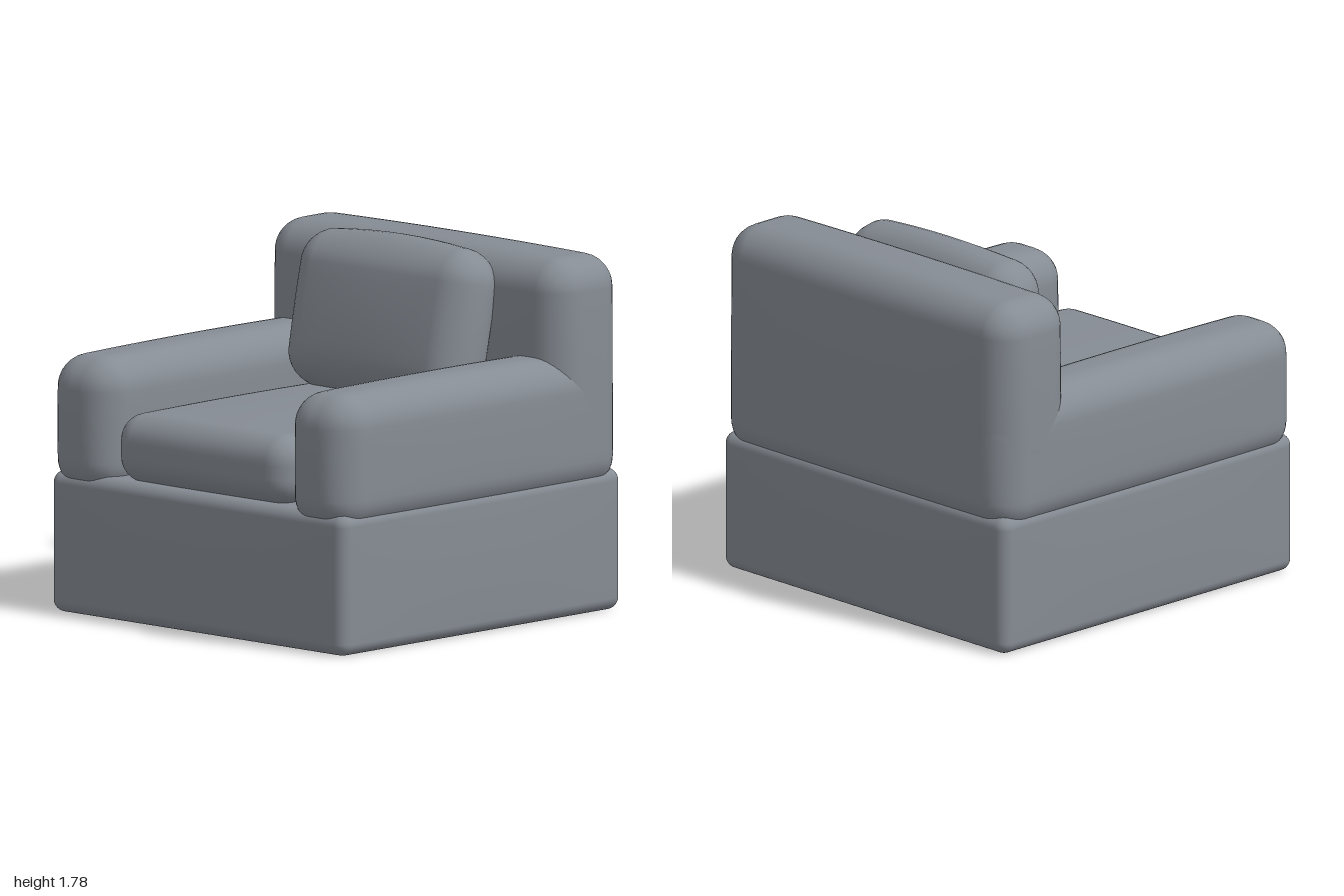
import * as THREE from 'three';
import { mergeVertices } from 'three/addons/utils/BufferGeometryUtils.js';

const AXES = ['x', 'y', 'z'];
const SEGMENTS = 16;

// Upholstered block: rounded edges, with each face swelling towards its middle.
// min / max are the outer limits including the swelling.
function paddedBox(min, max, radius, bulge) {
  const half = AXES.map((_, i) => (max[i] - min[i]) / 2 - bulge[i]);
  const geometry = new THREE.BoxGeometry(2, 2, 2, SEGMENTS, SEGMENTS, SEGMENTS);
  geometry.deleteAttribute('uv');
  geometry.deleteAttribute('normal');
  const pos = geometry.attributes.position;
  const p = new THREE.Vector3(), core = new THREE.Vector3();

  for (let i = 0; i < pos.count; i++) {
    p.fromBufferAttribute(pos, i);
    // Concentrate half of the grid rows in the rounded edges
    AXES.forEach((a, k) => {
      const t = Math.abs(p[a]), s = Math.sign(p[a]), flat = half[k] - radius;
      core[a] = s * flat * Math.min(1, t * 2);
      p[a] = core[a] + s * radius * Math.tan(Math.max(0, t - 0.5) * Math.PI / 2);
    });
    p.sub(core).setLength(radius).add(core);
    // Swell every face
    const n = AXES.map((a, k) => p[a] / half[k]);
    AXES.forEach((a, k) => {
      const u = n[(k + 1) % 3], v = n[(k + 2) % 3];
      p[a] += bulge[k] * n[k] * Math.max(0, 1 - u * u) * Math.max(0, 1 - v * v);
    });
    pos.setXYZ(i, p.x, p.y, p.z);
  }
  const smooth = mergeVertices(geometry, 1e-5);
  smooth.computeVertexNormals();
  return smooth;
}

export function createModel() {
  const group = new THREE.Group();
  group.name = 'armchair';
  const fabric = new THREE.MeshStandardMaterial({ color: 0x868c94 });
  fabric.name = 'grey fabric';

  function add(name, min, max, radius, bulge) {
    const mesh = new THREE.Mesh(paddedBox(min, max, radius, bulge), fabric);
    mesh.name = name;
    mesh.position.set(...min.map((v, i) => (v + max[i]) / 2));
    group.add(mesh);
    return mesh;
  }

  // Plinth
  add('base', [-0.985, 0, -0.985], [0.985, 0.69, 0.985], 0.06, [0.008, 0, 0.008]);

  // Armrests
  for (const [name, side] of [['leftArm', 1], ['rightArm', -1]]) {
    const x = [0.575 * side, 1.0 * side].sort((a, b) => a - b);
    add(name, [x[0], 0.58, -0.99], [x[1], 1.27, 1.0], 0.155, [0.01, 0.015, 0.01]);
  }

  // Backrest
  add('backrest', [-0.995, 0.58, -1.0], [0.995, 1.75, -0.5], 0.155, [0.012, 0.015, 0.015]);

  // Loose cushions
  add('seatCushion', [-0.585, 0.65, -0.6], [0.585, 1.035, 0.975], 0.125, [0.01, 0.025, 0.008]);
  const pillow = add('backCushion', [-0.585, 0.975, -0.585], [0.585, 1.785, -0.2], 0.15, [0.015, 0.04, 0.025]);
  pillow.rotation.x = -0.2;

  return group;
}
